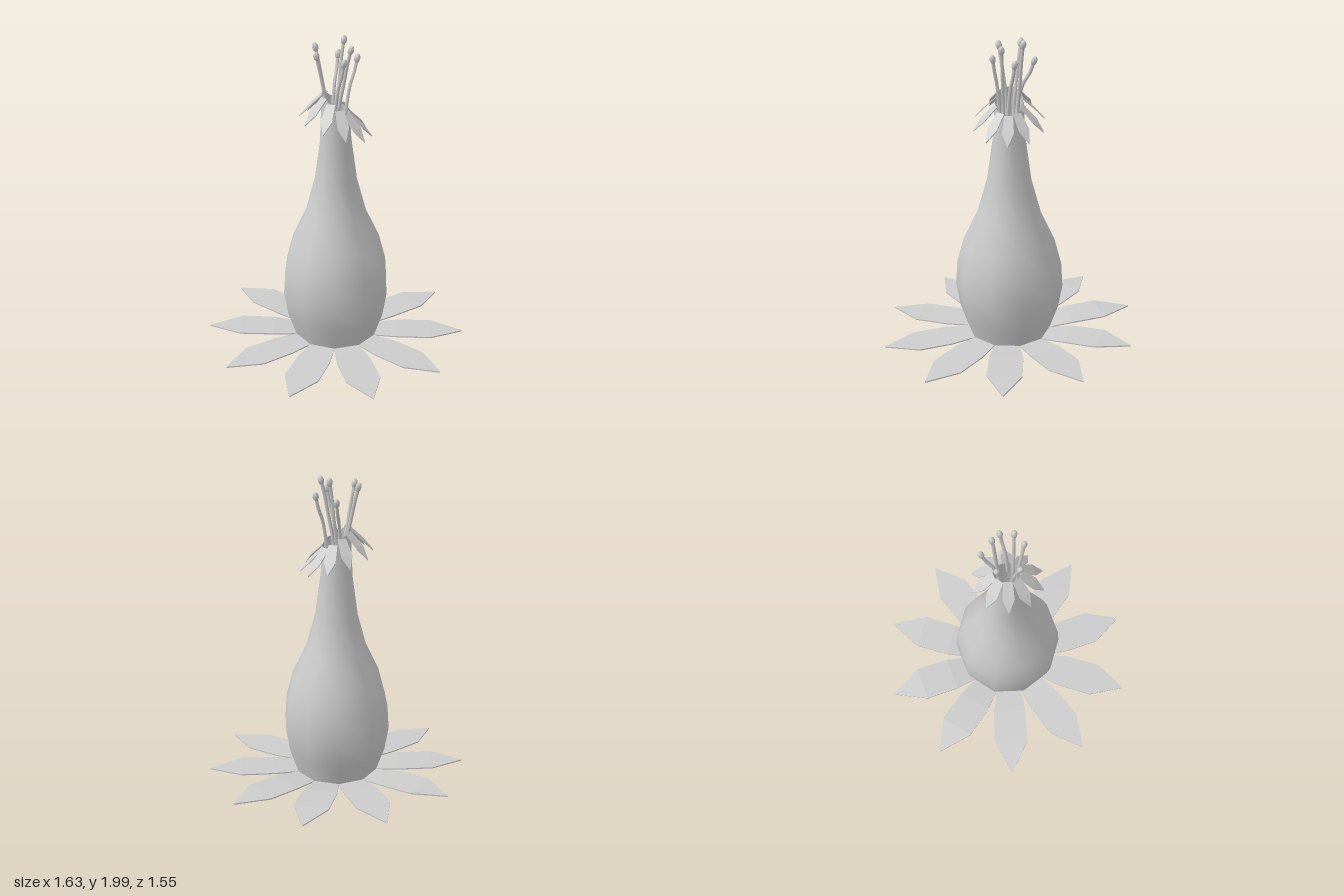
import * as THREE from 'three';

const COUNT = 10;
const MOUTH_R = 0.088;
const grey = new THREE.MeshStandardMaterial({ color: 0xcccccc, side: THREE.DoubleSide });
const flatGrey = new THREE.MeshStandardMaterial({ color: 0xcccccc, side: THREE.DoubleSide, flatShading: true });

// Slanted rim of the neck
const mouthY = (x, z) => 1.6 - 0.6 * x + 0.45 * z;

function addMesh(parent, name, geometry, material) {
  const mesh = new THREE.Mesh(geometry, material);
  mesh.name = name;
  parent.add(mesh);
  return mesh;
}

// Thin pointed petal along +x; rows are [distance, half width, height]
function petalGeometry(rows, thickness) {
  const positions = [];
  const index = [];
  for (const [r, w, y] of rows) {
    for (const [side, lift] of [[1, 0], [-1, 0], [-1, -thickness], [1, -thickness]]) {
      positions.push(r, y + lift, side * w);
    }
  }
  for (let i = 0; i < rows.length - 1; i++) {
    for (let k = 0; k < 4; k++) {
      const a = i * 4 + k, b = i * 4 + (k + 1) % 4;
      index.push(a, a + 4, b, b, a + 4, b + 4);
    }
  }
  const geometry = new THREE.BufferGeometry();
  geometry.setAttribute('position', new THREE.Float32BufferAttribute(positions, 3));
  geometry.setIndex(index);
  geometry.computeVertexNormals();
  return geometry;
}

function makeBody() {
  const profile = [
    [0.26, 0.04], [0.315, 0.2], [0.34, 0.35], [0.33, 0.51], [0.285, 0.68],
    [0.197, 0.87], [0.137, 1.09], [0.1, 1.36], [MOUTH_R, 1.6],
  ].map(([r, y]) => new THREE.Vector2(r, y));
  const geometry = new THREE.LatheGeometry(profile, COUNT);
  // Slant only the top ring
  const p = geometry.attributes.position;
  for (let i = 0; i < p.count; i++) {
    if (p.getY(i) > 1.5) p.setY(i, mouthY(p.getX(i), p.getZ(i)));
  }
  geometry.computeVertexNormals();
  // Keep the lathe seam smooth
  const n = geometry.attributes.normal;
  const rings = profile.length;
  const a = new THREE.Vector3(), b = new THREE.Vector3();
  for (let j = 0; j < rings; j++) {
    const last = COUNT * rings + j;
    a.fromBufferAttribute(n, j).add(b.fromBufferAttribute(n, last)).normalize();
    n.setXYZ(j, a.x, a.y, a.z);
    n.setXYZ(last, a.x, a.y, a.z);
  }
  return geometry;
}

// Filament with an oval head, from inside the neck to the tip
function makeStamen([bx, bz, tx, ty, tz]) {
  const stamen = new THREE.Group();
  stamen.name = 'stamen';
  const at = (t, y) => new THREE.Vector3(bx + (tx - bx) * t, y, bz + (tz - bz) * t);
  const head = at(1, ty - 0.028);
  const curve = new THREE.CatmullRomCurve3([
    at(0, 1.48), at(0.13, 1.6), at(0.42, 1.72), at(0.75, ty - 0.11), head,
  ]);
  addMesh(stamen, 'filament', new THREE.TubeGeometry(curve, 10, 0.011, 6), grey);
  const anther = addMesh(stamen, 'anther', new THREE.SphereGeometry(0.019, 8, 6), grey);
  anther.scale.y = 1.6;
  anther.position.copy(head);
  anther.quaternion.setFromUnitVectors(new THREE.Vector3(0, 1, 0), curve.getTangent(1));
  return stamen;
}

export function createModel() {
  const model = new THREE.Group();
  model.name = 'flower';
  addMesh(model, 'body', makeBody(), grey);

  // Two rings of petals: wide ones on the ground, drooping ones at the mouth
  for (let i = 0; i < COUNT; i++) {
    const angle = (i / COUNT) * Math.PI * 2;
    const c = Math.cos(angle), s = Math.sin(angle);

    const tipY = 0.04 - 0.02 * (c + s);
    const base = addMesh(model, 'basePetal', petalGeometry([
      [0.247, 0.08, 0.045], [0.4, 0.107, 0.03 + tipY * 0.6],
      [0.613, 0.109, tipY + 0.015], [0.815, 0.002, tipY + 0.006],
    ], 0.008), flatGrey);
    base.rotation.y = -angle;

    const r = MOUTH_R * 0.95;
    const crown = addMesh(model, 'crownPetal', petalGeometry([
      [r, 0.027, 0], [0.165, 0.036, -0.08], [0.222, 0.001, -0.145],
    ], 0.008), flatGrey);
    crown.position.y = mouthY(r * c, r * s);
    crown.rotation.y = -angle;
  }

  // Base x, base z, tip x, tip y, tip z
  const stamens = [
    [-0.04, -0.02, -0.08, 1.89, -0.125],
    [-0.03, -0.04, -0.012, 2.0, -0.095],
    [0.05, -0.03, 0.08, 1.9, -0.105],
    [0.03, 0.02, 0.098, 1.975, -0.02],
    [0.03, 0.05, 0.098, 1.91, 0.047],
    [-0.03, 0.04, -0.05, 1.945, 0.12],
    [-0.055, 0.01, -0.138, 1.96, 0.022],
  ];
  for (const spec of stamens) model.add(makeStamen(spec));
  return model;
}
